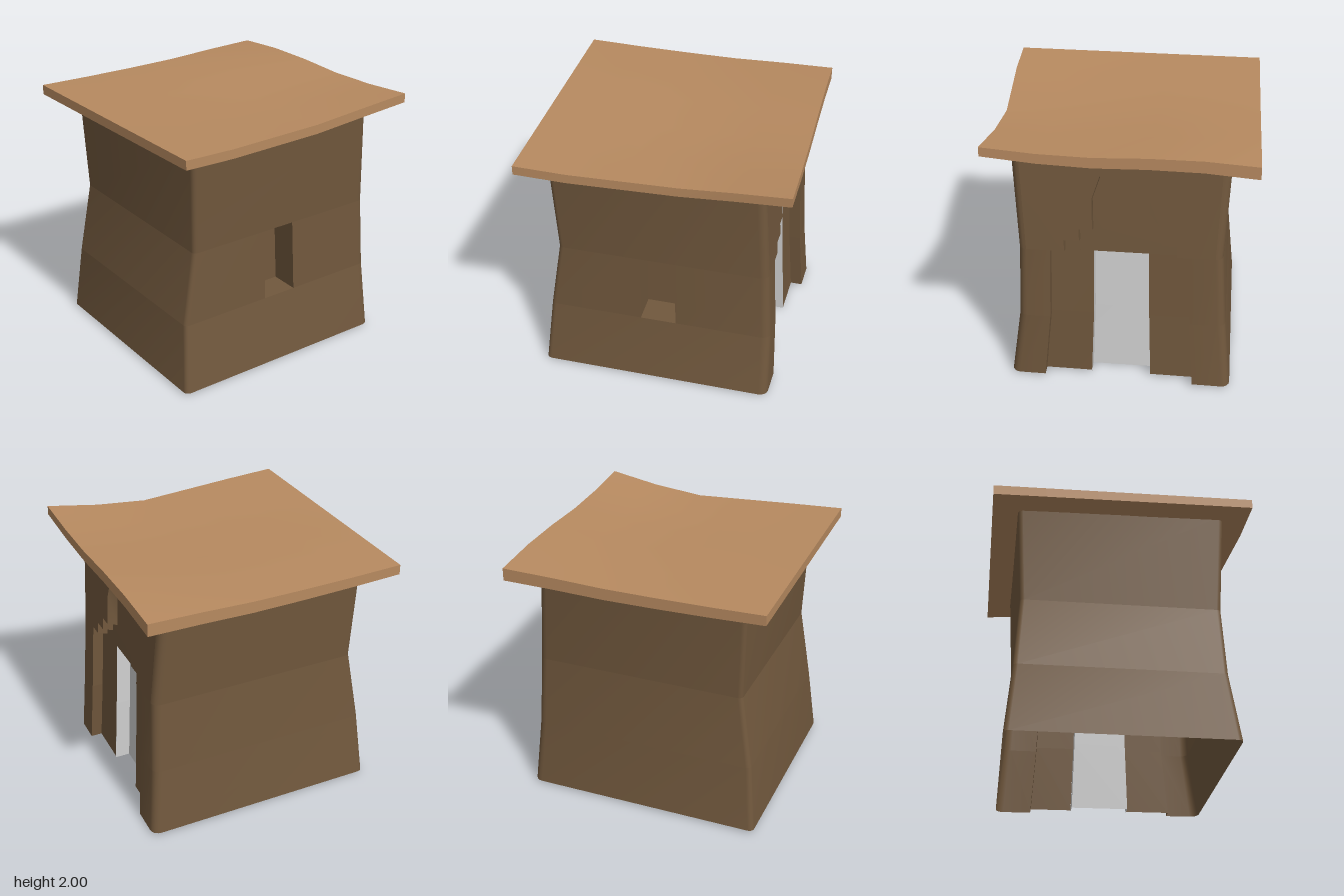
import * as THREE from 'three';
import { mergeGeometries, toCreasedNormals } from 'three/addons/utils/BufferGeometryUtils.js';

const material = (name, color, side = THREE.FrontSide) => {
  const m = new THREE.MeshStandardMaterial({ color, side });
  m.name = name;
  return m;
};

// Heights of the wall rows and how far each side leans out there
const ROWS = [0.015, 0.54, 1.1, 1.89];
const SIDES = {
  left: [0.84, 0.765, 0.75, 0.79],
  right: [0.835, 0.785, 0.75, 0.79],
  front: [0.91, 0.86, 0.77, 0.80],
  backLeft: [0.88, 0.865, 0.83, 0.78],
  backRight: [0.935, 0.89, 0.865, 0.80],
};
const RECESS_LEFT = 0.69, RECESS_RIGHT = 0.66, RECESS_W = -0.90;
const DOOR = 0.27, DOOR_W = -0.77;
const WIN_U = 0.71, DROP = -0.03; // openings dip inwards by DROP at the top
const FRONT_RADIUS = 0.045, BACK_RADIUS = 0.075;

function lean(side, y) {
  const t = SIDES[side];
  let i = 0;
  while (i < 2 && y > ROWS[i + 1]) i++;
  const k = Math.max(0, (y - ROWS[i]) / (ROWS[i + 1] - ROWS[i]));
  return THREE.MathUtils.lerp(t[i], t[i + 1], k);
}

// Bends a straight hut (u, w from -1 to 1) into the crooked one
function warp(geo) {
  const p = geo.attributes.position;
  for (let i = 0; i < p.count; i++) {
    const u = p.getX(i), y = p.getY(i), w = p.getZ(i);
    const back = THREE.MathUtils.lerp(lean('backRight', y), lean('backLeft', y), (u + 1) / 2);
    p.setXYZ(i, u * lean(u > 0 ? 'left' : 'right', y), y, w * (w > 0 ? lean('front', y) : back));
  }
  geo.deleteAttribute('uv');
  geo.deleteAttribute('normal');
  return toCreasedNormals(geo, 0.6);
}

// Quads between two rows of points
function sheet(a, b) {
  const pos = [];
  for (let i = 0; i < a.length - 1; i++) {
    pos.push(...a[i], ...a[i + 1], ...b[i + 1], ...a[i], ...b[i + 1], ...b[i]);
  }
  const geo = new THREE.BufferGeometry();
  geo.setAttribute('position', new THREE.Float32BufferAttribute(pos, 3));
  return warp(geo);
}

// Plan points are [u, w, optional height offset]
const at = (plan, y) => plan.map(([u, w, dy = 0]) => [u, y + dy, w]);

// Flat face on the back, from [u, y] points
function backFace(points, w) {
  const geo = new THREE.ShapeGeometry(new THREE.Shape(points.map(([u, y]) => new THREE.Vector2(-u, y))));
  const p = geo.attributes.position;
  for (let i = 0; i < p.count; i++) p.setXYZ(i, -p.getX(i), p.getY(i), w);
  return warp(geo);
}

// Rounded corner k, going round the plan from the back right
function corner(k) {
  const [su, sw] = [[-1, -1], [-1, 1], [1, 1], [1, -1]][k];
  const r = sw > 0 ? FRONT_RADIUS : BACK_RADIUS;
  return [0, 1, 2, 3, 4].map((i) => {
    const a = 1.5 * Math.PI - (k + i / 4) * Math.PI / 2;
    return [su * (1 - r) + r * Math.cos(a), sw * (1 - r) + r * Math.sin(a)];
  });
}

function createWalls() {
  const [y0, y1, y2, y3] = ROWS;
  const plan = (opening, drop) => [
    [-DOOR, RECESS_W, drop], [-RECESS_RIGHT, RECESS_W, drop], [-RECESS_RIGHT, -1],
    ...corner(0), ...corner(1), ...corner(2), ...opening, ...corner(3),
    [RECESS_LEFT, -1], [RECESS_LEFT, RECESS_W, drop], [DOOR, RECESS_W, drop],
  ];
  const opening = (f, b, drop) => [[1, f], [WIN_U, f, drop], [WIN_U, b, drop], [1, b]];
  const sill = opening(0.16, -0.16, 0), head = opening(0.18, -0.145, DROP);
  const shell = [...corner(0), ...corner(1), ...corner(2), ...corner(3)];

  // Stepped arch above the doorway, from left to right
  const steps = (edge) => [[edge, y2], [0.55, y2], [0.55, 1.19], [0.40, 1.19], [0.40, 1.285], [0.27, 1.285]];
  const arch = [];
  for (let i = 0; i <= 4; i++) {
    const a = i * Math.PI / 4;
    arch.push([0.27 * Math.cos(a), 1.53 + 0.25 * Math.sin(a)]);
  }
  const notch = [...steps(RECESS_LEFT), ...arch, ...steps(RECESS_RIGHT).map(([u, y]) => [-u, y]).reverse()];
  const sunk = notch.map(([u, y]) => [u, y + DROP]);
  const lift = (points, w) => points.map(([u, y]) => [u, y, w]);
  const e = 1 - BACK_RADIUS;

  return mergeGeometries([
    sheet(at(plan([], 0), y0), at(plan([], 0), y1)),
    sheet(at(plan(sill, 0), y1), at(plan(head, DROP), y2)),
    sheet(at(shell, y2), at(shell, y3)),
    // back wall round the arch, sunk panel and the rim between them
    backFace([[e, y2], [e, y3], [-e, y3], [-e, y2], ...notch.slice().reverse()], -1),
    backFace(sunk, RECESS_W),
    sheet(lift(sunk, RECESS_W), lift(notch, -1)),
    // window sill and head
    sheet(at([sill[2], sill[1]], y1), at([sill[3], sill[0]], y1)),
    sheet(at([head[3], head[0]], y2), at([head[2], head[1]], y2)),
  ]);
}

// Doorway lining: jambs, back and lintel
function createDoorway() {
  const plan = (front, back) => [
    [DOOR, RECESS_W, front], [DOOR, DOOR_W, back], [-DOOR, DOOR_W, back], [-DOOR, RECESS_W, front],
  ];
  const foot = plan(0, 0), head = plan(DROP, 2 * DROP);
  const [, y1, y2] = ROWS;
  return mergeGeometries([
    sheet(at(foot, 0), at(foot, y1)),
    sheet(at(foot, y1), at(head, y2)),
    sheet(at([head[3], head[0]], y2), at([head[2], head[1]], y2)),
  ]);
}

// Sagging roof slab: edge values run from back to front, wave from right to left
function createRoof() {
  const leftY = [2.0, 1.95, 1.915, 1.925, 1.935, 1.95];
  const rightY = [1.925, 1.918, 1.905, 1.905, 1.91, 1.92];
  const leftX = [0.96, 0.92, 0.91, 0.94, 0.97, 0.98];
  const backWave = [0, 0.015, 0.005, -0.02, -0.02, 0];
  const geo = new THREE.BoxGeometry(2, 1, 2, 5, 1, 5);
  const p = geo.attributes.position;
  for (let i = 0; i < p.count; i++) {
    const x = p.getX(i), z = p.getZ(i), t = (x + 1) / 2;
    const row = Math.round((z + 1) * 2.5), col = Math.round((x + 1) * 2.5);
    const y = THREE.MathUtils.lerp(rightY[row], leftY[row], t) + backWave[col] * (1 - z) / 2;
    const thick = 0.07 + 0.01 * (1 - t) * (1.5 - z);
    const depth = z > 0 ? 1 - 0.02 * t : 0.985 + 0.01 * t;
    p.setXYZ(i, THREE.MathUtils.lerp(-0.98, leftX[row], t), p.getY(i) > 0 ? y : y - thick, z * depth);
  }
  geo.computeVertexNormals();
  return geo;
}

export function createModel() {
  // The hut is open underneath, so the walls show their insides
  const clay = material('dark clay', 0x71583d, THREE.DoubleSide);
  const stone = material('grey stone', 0xd2d2d2, THREE.DoubleSide);
  const roofClay = material('light clay', 0xb78a60);

  const group = new THREE.Group();
  group.name = 'clayHut';
  const add = (name, geo, mat) => {
    const mesh = new THREE.Mesh(geo, mat);
    mesh.name = name;
    group.add(mesh);
  };
  add('walls', createWalls(), clay);
  add('doorway', createDoorway(), stone);
  add('roof', createRoof(), roofClay);
  return group;
}
